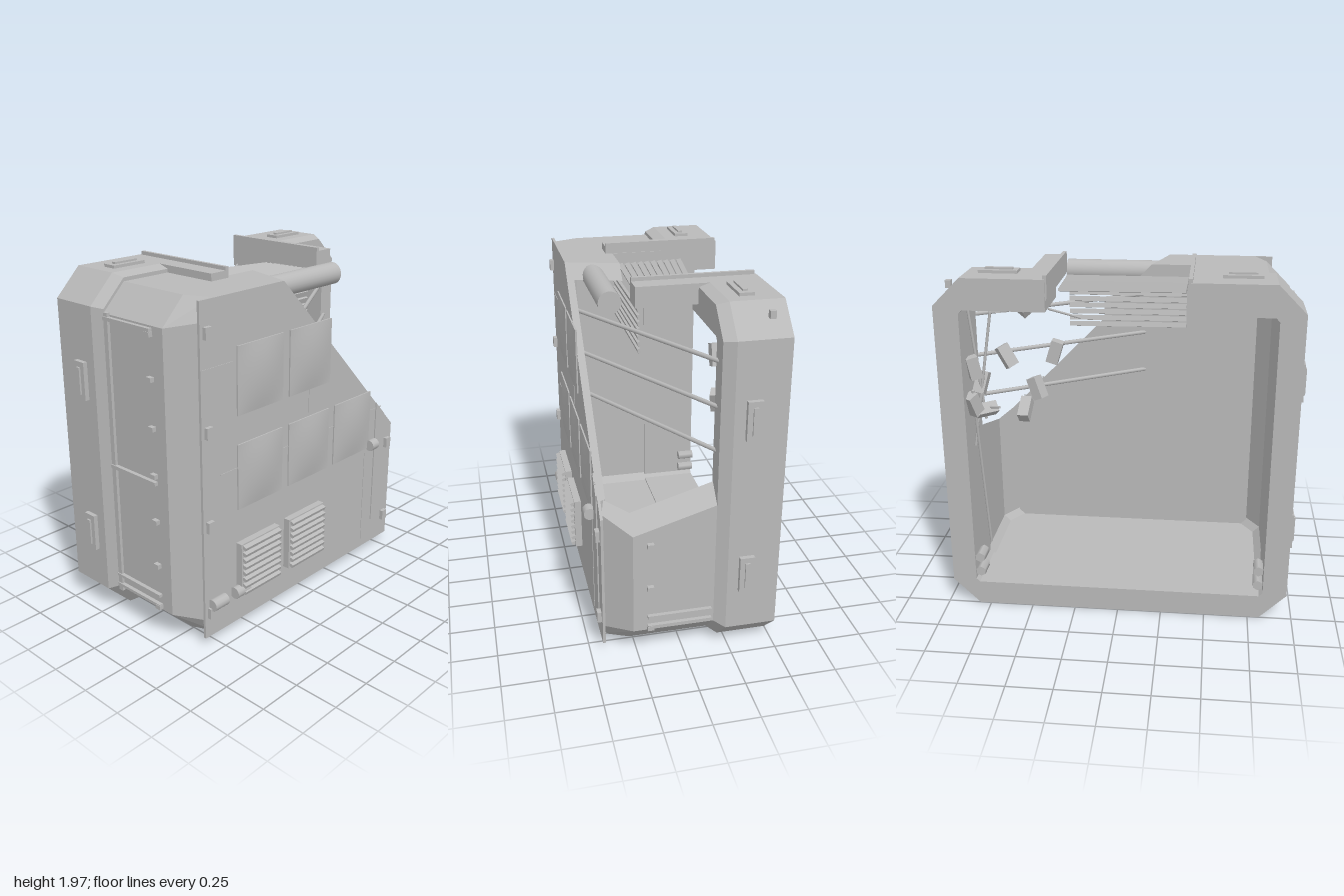
import * as THREE from 'three';
import { ConvexGeometry } from 'three/addons/geometries/ConvexGeometry.js';

const V = (x, y, z) => new THREE.Vector3(x, y, z);
const metal = new THREE.MeshStandardMaterial({ color: 0xb9b9b9 });
metal.name = 'greyMetal';

// Sloping plane along which the shell has been torn open: keeps n.p <= c
const TEAR = [1.02, 1, 0.3, 1.8];

// Convex block from its corners, cut by any number of planes
function solid(points, planes = []) {
  for (const [a, b, c, d] of planes) {
    const side = (p) => a * p.x + b * p.y + c * p.z - d;
    const kept = points.filter((p) => side(p) <= 0);
    points.forEach((p, i) => points.slice(i + 1).forEach((q) => {
      const s = side(p), t = side(q);
      if (s * t < 0) kept.push(p.clone().lerp(q, s / (s - t)));
    }));
    points = kept;
  }
  return points.length > 3 ? new ConvexGeometry(points) : null;
}

function corners(x0, x1, y0, y1, z0, z1) {
  const out = [];
  for (const x of [x0, x1]) for (const y of [y0, y1]) for (const z of [z0, z1]) out.push(V(x, y, z));
  return out;
}

// Rectangle outline with cut corners; side 3 is the top, side 7 the bottom
function outline(x, y0, y1, cx, cy, z) {
  return [[x - cx, y0], [x, y0 + cy], [x, y1 - cy], [x - cx, y1],
    [cx - x, y1], [-x, y1 - cy], [-x, y0 + cy], [cx - x, y0]].map(([a, b]) => V(a, b, z));
}

export function createModel() {
  const model = new THREE.Group();

  function add(name, geometry, parent = model) {
    if (!geometry) return null;
    const mesh = new THREE.Mesh(geometry, metal);
    mesh.name = name;
    parent.add(mesh);
    return mesh;
  }
  function box(name, x, y, z, w, h, d, rot = [0, 0, 0], parent = model) {
    const mesh = add(name, new THREE.BoxGeometry(w, h, d), parent);
    mesh.position.set(x, y, z);
    mesh.rotation.set(...rot);
    return mesh;
  }
  function rod(name, a, b, r, sides = 8, parent = model) {
    const dir = b.clone().sub(a);
    const mesh = add(name, new THREE.CylinderGeometry(r, r, dir.length(), sides), parent);
    mesh.position.copy(a).lerp(b, 0.5);
    mesh.quaternion.setFromUnitVectors(V(0, 1, 0), dir.normalize());
    return mesh;
  }
  // One wall block between side i of two outer and two inner outlines
  const wall = (name, i, rings, planes) => {
    const j = (i + 1) % 8;
    add(name, solid(rings.flatMap((r) => [r[i].clone(), r[j].clone()]), planes));
  };

  // Thick rear frame with a broken top
  const f0 = outline(0.965, 0, 1.94, 0.15, 0.15, -0.5);
  const f1 = outline(0.965, 0, 1.94, 0.15, 0.15, -0.22);
  const f2 = outline(0.93, 0.04, 1.92, 0.14, 0.14, -0.16);
  const fi0 = outline(0.83, 0.14, 1.77, 0.02, 0.02, -0.5);
  const fi1 = outline(0.83, 0.14, 1.77, 0.02, 0.02, -0.16);
  for (let i = 0; i < 8; i++) {
    const rings = [f0, f1, f2, fi0, fi1];
    if (i === 3) {
      wall('frameTopRight', i, rings, [[1, 0, 0, -0.37]]);
      wall('frameTopLeft', i, rings, [[-1, 0, 0, -0.37]]);
    } else wall('frameSide', i, rings);
  }

  // Torn shell in front of the frame
  const h0 = outline(0.93, 0.04, 1.9, 0.14, 0.14, -0.16);
  const h1 = outline(0.93, 0.04, 1.9, 0.14, 0.14, 0.28);
  const h2 = outline(0.81, 0.04, 1.9, 0.08, 0.11, 0.42);
  const i0 = outline(0.84, 0.13, 1.82, 0.04, 0.04, -0.16);
  const i1 = outline(0.84, 0.13, 1.82, 0.04, 0.04, 0.28);
  const i2 = outline(0.76, 0.13, 1.82, 0.04, 0.04, 0.4);
  for (let i = 0; i < 8; i++) {
    if (i === 3) {
      wall('shellTopRear', i, [h0, h1, i0, i1], [[0, 0, 1, 0.13], [1, 0, 0, -0.36]]);
      wall('shellTopFront', i, [h0, h1, i0, i1], [[0, 0, -1, -0.13], TEAR]);
    } else wall('shellWall', i, [h0, h1, i0, i1], [TEAR]);
    wall('shellBevel', i, [h1, h2, i1, i2], [TEAR]);
  }
  add('frontWall', solid(corners(-0.76, 0.76, 0.06, 1.88, 0.39, 0.42), [TEAR]));
  add('frontPlate', solid(corners(-0.83, 0.83, 0.05, 1.9, 0.415, 0.43), [TEAR]));
  add('frontSlot', solid(corners(0.65, 0.735, 0.21, 1.05, 0.425, 0.437), [TEAR]));

  // Cushioned front panels
  for (const [x, y] of [[-0.405, 1.445], [0, 1.445], [-0.405, 0.915], [0, 0.915], [0.405, 0.915]]) {
    const g = new THREE.BoxGeometry(0.35, 0.37, 0.01, 8, 8, 1);
    const p = g.attributes.position;
    for (let k = 0; k < p.count; k++) {
      const u = p.getX(k) / 0.175, v = p.getY(k) / 0.185;
      if (p.getZ(k) > 0) p.setZ(k, 0.005 + 0.018 * (1 - u * u) * (1 - v * v));
    }
    g.computeVertexNormals();
    add('frontPanel', g).position.set(x, y, 0.433);
    box('panelHandle', x, y + 0.09, 0.444, 0.06, 0.008, 0.01);
  }
  // Seams on the front
  box('seam', -0.71, 1.555, 0.431, 0.22, 0.006, 0.004);
  box('seam', 0, 0.97, 0.431, 1.5, 0.006, 0.004).scale.x = 0.94;
  box('seam', 0, 1.2, 0.431, 0.005, 0.16, 0.004);
  box('seam', 0.555, 0.4, 0.431, 0.005, 0.6, 0.004);

  // Louvred vents
  for (const x of [-0.435, -0.045]) {
    const vent = new THREE.Group();
    vent.name = 'vent';
    vent.position.set(x, 0.38, 0);
    model.add(vent);
    box('ventBack', 0, 0, 0.445, 0.31, 0.31, 0.05, [0, 0, 0], vent);
    for (let k = 0; k < 8; k++) box('ventSlat', 0, -0.135 + k * 0.0385, 0.477, 0.29, 0.02, 0.03, [0.35, 0, 0], vent);
  }

  // Front bolts and valves
  for (const y of [0.2, 0.71, 1.23, 1.74]) box('bolt', -0.79, y, 0.438, 0.042, 0.062, 0.03);
  for (const y of [0.2, 0.71]) box('bolt', 0.78, y, 0.438, 0.042, 0.062, 0.03);
  for (const [x, y, w] of [[-0.75, 0.25, 0.1], [-0.58, 0.25, 0.1], [0.6, 0.75, 0.06]]) {
    rod('valve', V(x - w / 2, y, 0.452), V(x + w / 2, y, 0.452), 0.034, 12);
  }

  // Grab handles on the frame
  for (const s of [-1, 1]) {
    for (const y of [0.49, 1.38]) {
      box('sideHandle', s * 0.975, y, -0.32, 0.03, 0.21, 0.08);
      box('sideHandleBar', s * 0.991, y, -0.32, 0.018, 0.15, 0.025);
    }
    box('topHandle', s * 0.64, 1.946, -0.33, 0.21, 0.02, 0.08);
    box('topHandleBar', s * 0.64, 1.958, -0.33, 0.15, 0.016, 0.025);
    // Clips inside the frame
    for (const y of [0.21, 0.3]) rod('innerClip', V(s * 0.8, y, -0.5), V(s * 0.8, y, -0.4), 0.03, 6);
    // Side rails and bolts
    for (const y of [0.21, 0.27]) box('sideRail', s * 0.937, y, 0.03, 0.03, 0.016, 0.35);
    for (const y of s < 0 ? [0.2, 0.45, 0.71, 0.97, 1.23, 1.49, 1.72] : [0.2, 0.45, 0.71]) {
      box('sideBolt', s * 0.94, y, 0.19, 0.03, 0.025, 0.035);
    }
  }
  for (const y of [0.93, 1.74]) box('sideRail', -0.937, y, 0.03, 0.03, 0.02, 0.35);
  box('sidePost', -0.936, 0.97, -0.13, 0.02, 1.6, 0.03);
  box('cornerLug', 0.895, 1.89, -0.41, 0.03, 0.04, 0.03);

  // Feet under the shell
  for (const x of [-0.59, 0, 0.59]) box('foot', x, 0.03, -0.04, 0.28, 0.024, 0.23);

  // Brackets at the broken top
  for (const [name, x, s] of [['rightBracket', -0.43, -1], ['leftBracket', 0.425, 1]]) {
    box(name, x, 1.885, -0.16, 0.12, 0.11, 0.66);
    box(name + 'Lip', x - s * 0.055, 1.9, -0.16, 0.02, 0.12, 0.66);
  }

  // Roller and collapsed shutter
  rod('roller', V(-0.2, 1.83, 0.28), V(0.37, 1.83, 0.28), 0.062, 24);
  const shutter = new THREE.Group();
  shutter.name = 'shutter';
  model.add(shutter);
  for (let k = 0; k < 10; k++) {
    box('shutterSlat', 0, 1.83, -0.23 + k * 0.036, 0.7, 0.016, 0.028, [0.3, -0.11 + k * 0.009, 0], shutter);
  }
  for (let k = 0; k < 7; k++) {
    box('shutterSlat', 0, 1.77 - k * 0.037, 0.12, 0.68, 0.028, 0.016, [0.3, 0, -0.01 * k / 6], shutter);
  }

  // Bare braces across the opening
  for (const y of [1.18, 1.42, 1.66]) rod('brace', V(0.87, y, -0.17), V(-0.1, y + 0.005, 0.41), 0.012);

  // Hanging rubble and loose bars
  const rubble = [[0.36, 1.5, -0.3, 0.3], [0.62, 1.48, -0.34, -0.6], [0.47, 1.28, -0.28, -0.7], [0.52, 1.19, -0.38, 0.9],
    [0.78, 1.31, -0.3, 0.2], [0.75, 1.17, -0.36, 1.1], [0.8, 1.22, -0.42, -0.4], [0.66, 1.75, -0.32, 1.4], [0.48, 1.78, -0.38, 0.7],
    [0.8, 1.42, -0.38, -0.2]];
  rubble.forEach(([x, y, z, r], k) => box('rubble', x, y, z, 0.065, 0.125, 0.06, [0.4 * (k % 3), 0.5 * (k % 4), r]));
  for (const [a, b] of [[V(0.7, 1.78, -0.3), V(0.82, 0.95, -0.36)], [V(0.82, 1.75, -0.35), V(0.76, 1.1, -0.32)],
    [V(0.8, 1.3, -0.42), V(0.78, 0.3, -0.3)], [V(0.66, 1.2, -0.4), V(0.83, 1.16, -0.3)]]) rod('looseBar', a, b, 0.008, 6);
  rod('looseBar', V(0.2, 1.72, -0.4), V(0.36, 1.78, -0.46), 0.006, 6);

  return model;
}
